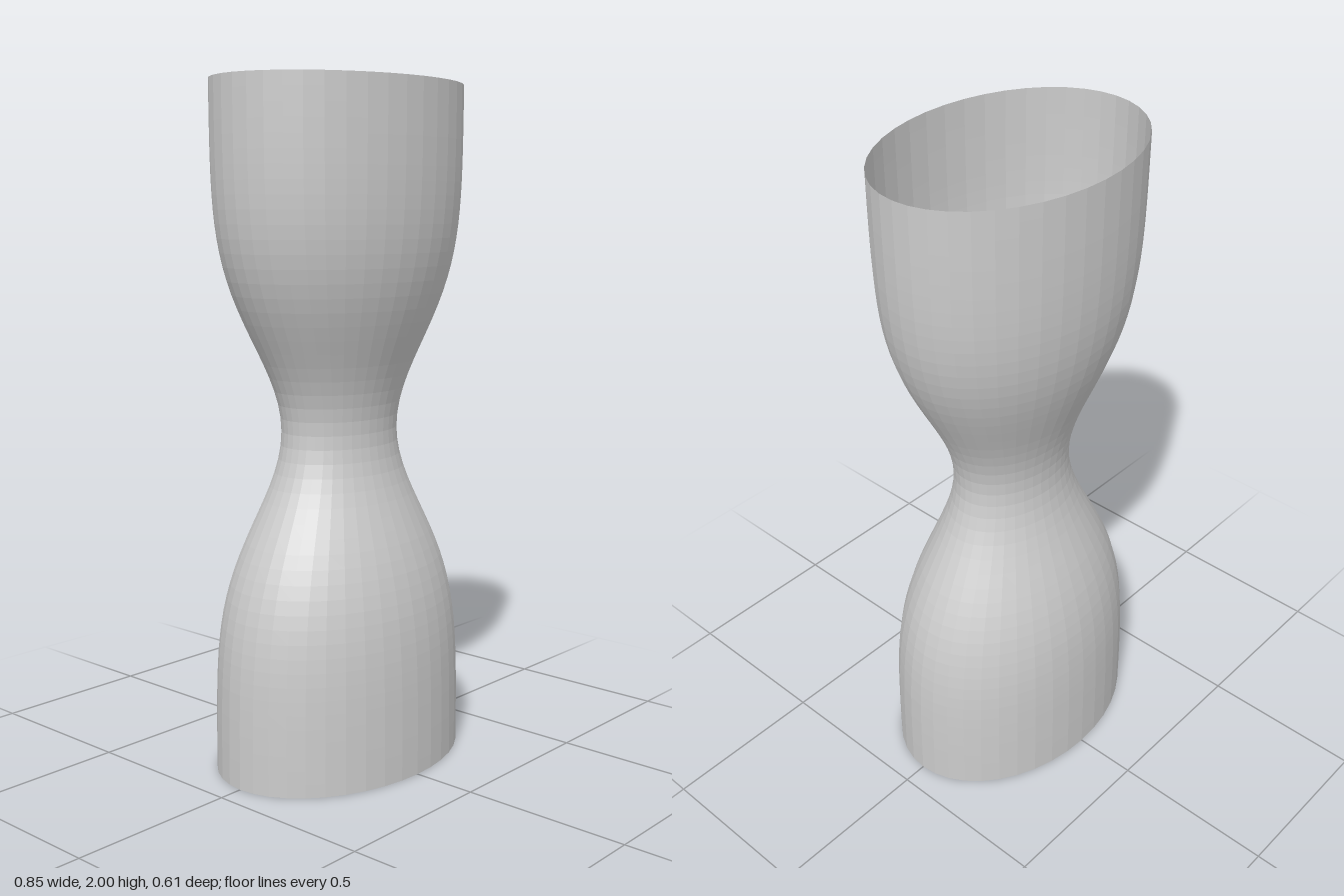
import * as THREE from 'three';

export function createModel() {
  const group = new THREE.Group();
  const material = new THREE.MeshStandardMaterial({
    color: 0xcccccc, flatShading: true, side: THREE.DoubleSide,
  });

  // Hourglass profile: a straight wall with a bell-shaped pinch at mid-height
  const rings = 50, wall = 0.427, pinch = 0.227;
  const profile = [];
  for (let i = 0; i <= rings; i++) {
    const y = (2 * i) / rings;
    const d = y - 1;
    profile.push(new THREE.Vector2(wall - pinch * Math.exp(-d * d / 0.129), y));
  }

  // Open tube, flattened front to back into an ellipse
  const geometry = new THREE.LatheGeometry(profile, 40);
  geometry.scale(1, 1, 0.72);
  const tube = new THREE.Mesh(geometry, material);
  tube.name = 'pinchedTube';
  group.add(tube);
  return group;
}
